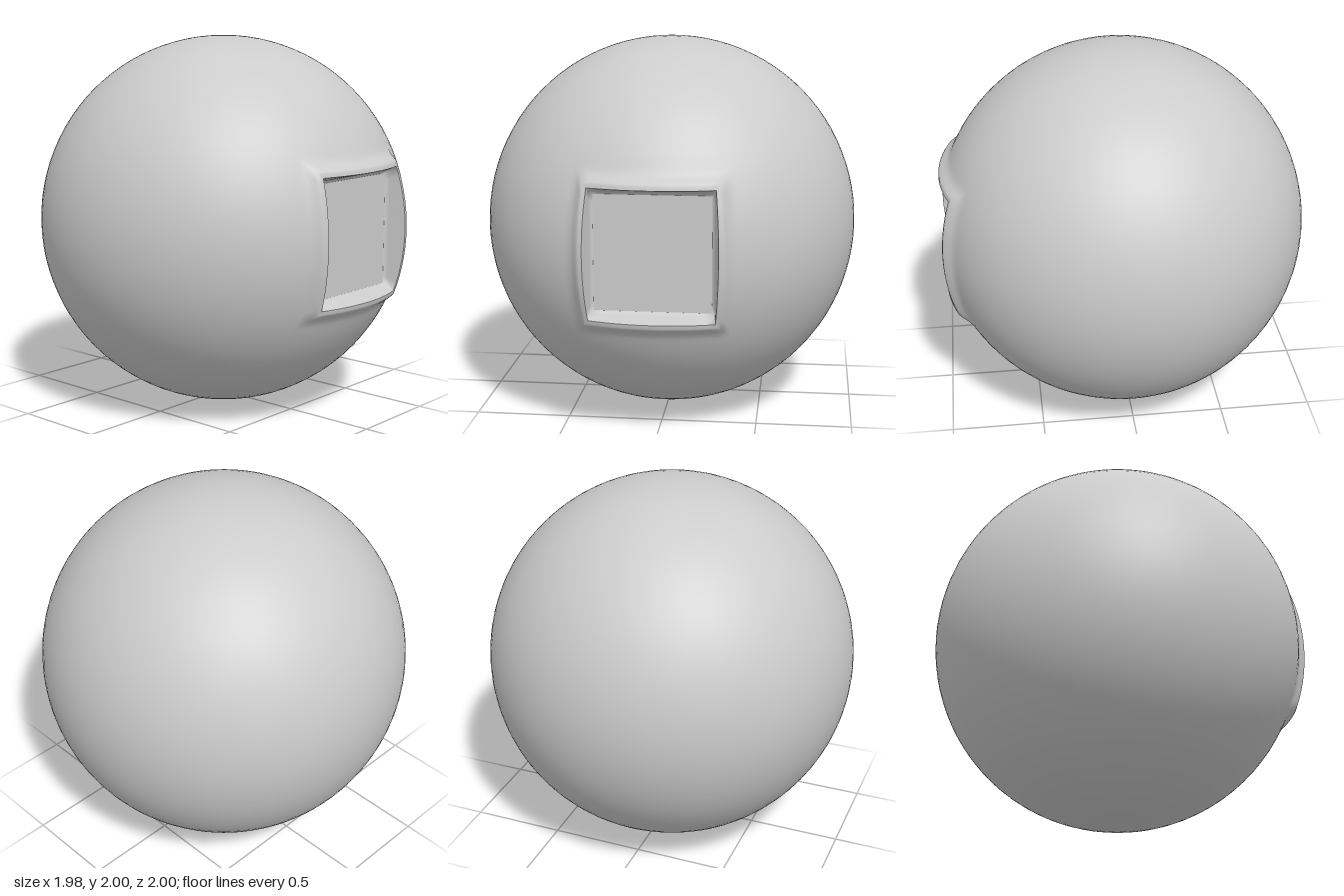
import * as THREE from 'three';

const material = new THREE.MeshStandardMaterial({ color: 0xcccccc });
const STEP = 3.75;              // degrees per sphere segment
const HOLE = 26.25;             // half angle cut out of the ball around +x
const SIDE = 14;                // segments along each side of the square frame
const rad = THREE.MathUtils.degToRad;

// Points around a square of half size 1, counter-clockwise seen from +x
const square = [];
for (let s = 0; s < 4; s++) {
  for (let i = 0; i < SIDE; i++) {
    const t = -1 + (2 * i) / SIDE;
    square.push([[t, -1], [1, t], [-t, 1], [-1, -t]][s]);
  }
}

// A square ring on a sphere, bounded by meridians and parallels
const sphereRing = (deg, r) => square.map(([u, v]) => {
  const lon = rad(u * deg), lat = rad(v * deg);
  return new THREE.Vector3(Math.cos(lat) * Math.cos(lon), Math.sin(lat), -Math.cos(lat) * Math.sin(lon))
    .multiplyScalar(r);
});

// A square ring in a flat plane facing +x
const flatRing = (half, x) => square.map(([u, v]) => new THREE.Vector3(x, v * half, -u * half));

// Surface through a list of rings, from the outside inwards
function loft(rings) {
  const n = square.length, index = [];
  for (let k = 0; k < rings.length - 1; k++) {
    for (let i = 0; i < n; i++) {
      const a = k * n + i, b = k * n + ((i + 1) % n);
      index.push(a, b, b + n, a, b + n, a + n);
    }
  }
  const geo = new THREE.BufferGeometry().setFromPoints(rings.flat());
  geo.setIndex(index);
  geo.computeVertexNormals();
  return geo;
}

// Smooth ball with the square opening removed
function ballGeometry() {
  const geo = new THREE.SphereGeometry(1, 360 / STEP, 180 / STEP);
  const pos = geo.attributes.position, old = geo.index.array, kept = [];
  const c = new THREE.Vector3(), p = new THREE.Vector3();
  for (let i = 0; i < old.length; i += 3) {
    c.set(0, 0, 0);
    for (let j = 0; j < 3; j++) c.add(p.fromBufferAttribute(pos, old[i + j]));
    c.normalize();
    const lat = Math.abs(Math.asin(c.y)), lon = Math.abs(Math.atan2(c.z, c.x));
    if (lat > rad(HOLE) || lon > rad(HOLE)) kept.push(old[i], old[i + 1], old[i + 2]);
  }
  geo.setIndex(kept);
  return geo;
}

// Raised frame, flaring up from the ball to a narrow lip
function frameGeometry() {
  const profile = [[HOLE, 1], [25, 1], [23.6, 1.002], [22.4, 1.01], [21.3, 1.022], [20.4, 1.031], [19.8, 1.034], [18.75, 1.03]];
  const geo = loft(profile.map(([deg, r]) => sphereRing(deg, r)));
  // The outer edge takes the ball's own normals so the join is seamless
  sphereRing(HOLE, 1).forEach((v, i) => geo.attributes.normal.setXYZ(i, v.x, v.y, v.z));
  return geo;
}

export function createModel() {
  const group = new THREE.Group();
  const add = (name, geo) => {
    const mesh = new THREE.Mesh(geo, material);
    mesh.name = name;
    group.add(mesh);
    return mesh;
  };

  add('ball', ballGeometry());
  add('raisedFrame', frameGeometry());

  // Inner wall of the recess, with a soft bend at its foot
  add('recessWall', loft([sphereRing(18.75, 1.03), flatRing(0.308, 0.888), flatRing(0.302, 0.874), flatRing(0.292, 0.868)]));

  // Flat panel at the bottom of the recess
  const panel = add('recessPanel', new THREE.PlaneGeometry(0.584, 0.584));
  panel.rotation.y = Math.PI / 2;
  panel.position.x = 0.868;

  group.position.set(0.013, 1, 0);
  const model = new THREE.Group();
  model.name = 'ballWithRecess';
  model.add(group);
  return model;
}
